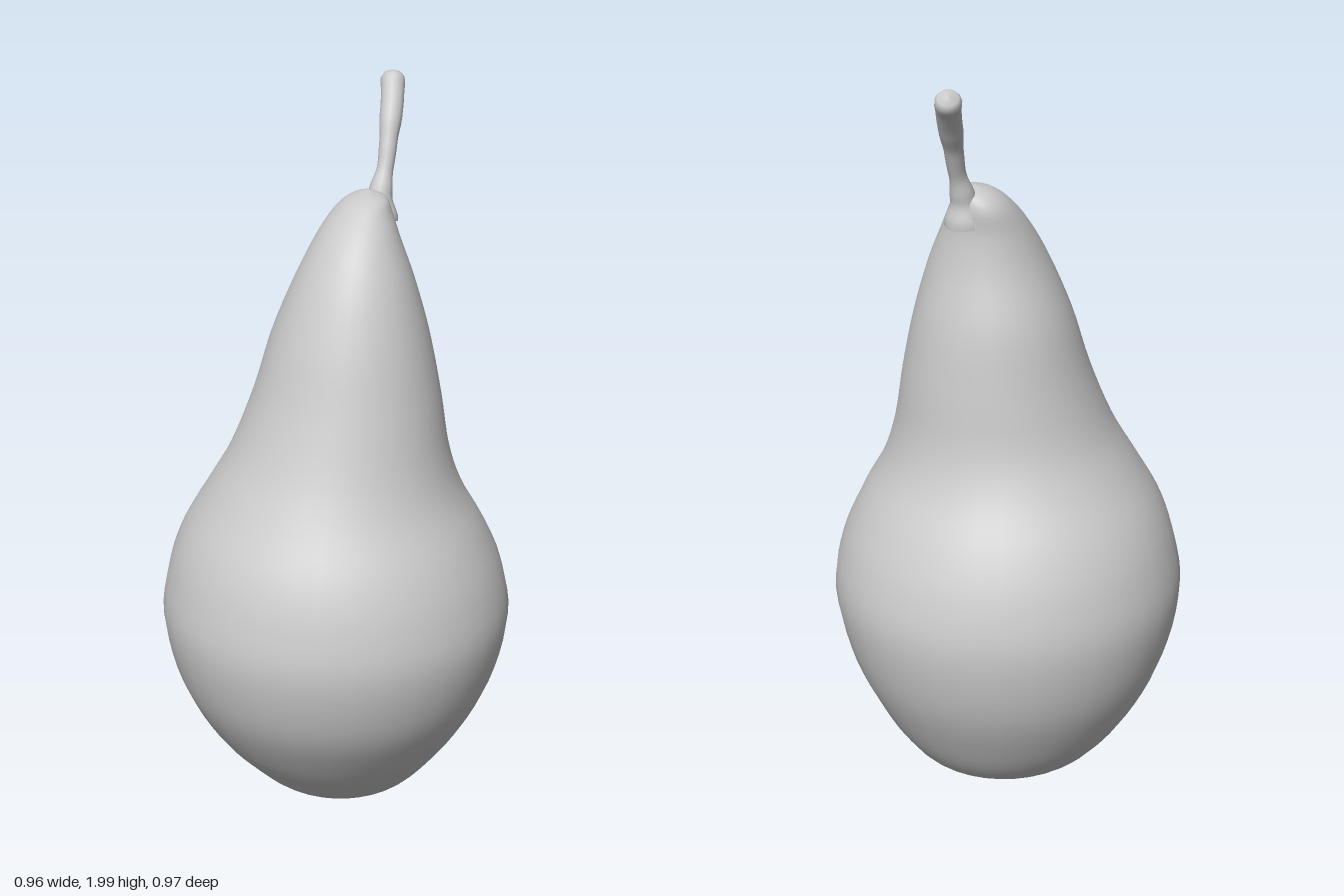
import * as THREE from 'three';

const material = new THREE.MeshStandardMaterial({ color: 0xcccccc, roughness: 0.8 });

// Lofts smooth horizontal ovals through rows of [y, xMin, xMax, zMin, zMax]
function loft(rows, sides, steps) {
  const centres = new THREE.CatmullRomCurve3(
    rows.map(([y, x0, x1, z0, z1]) => new THREE.Vector3((x0 + x1) / 2, y, (z0 + z1) / 2)), false, 'catmullrom');
  const radii = new THREE.CatmullRomCurve3(
    rows.map(([, x0, x1, z0, z1]) => new THREE.Vector3((x1 - x0) / 2, 0, (z1 - z0) / 2)), false, 'catmullrom');
  const rings = (rows.length - 1) * steps;
  const positions = [], index = [];
  for (let i = 0; i <= rings; i++) {
    const c = centres.getPoint(i / rings), r = radii.getPoint(i / rings);
    for (let j = 0; j < sides; j++) {
      const a = (j / sides) * Math.PI * 2;
      positions.push(c.x + r.x * Math.cos(a), c.y, c.z + r.z * Math.sin(a));
      if (i === rings) continue;
      const p = i * sides + j, q = i * sides + ((j + 1) % sides);
      index.push(p, p + sides, q, q, p + sides, q + sides);
    }
  }
  const geometry = new THREE.BufferGeometry();
  geometry.setAttribute('position', new THREE.Float32BufferAttribute(positions, 3));
  geometry.setIndex(index);
  geometry.computeVertexNormals();
  return geometry;
}

// Tube whose radius follows a list of evenly spaced values
function taperedTube(points, radii, segments, sides) {
  const path = new THREE.CatmullRomCurve3(points.map((p) => new THREE.Vector3(...p)));
  const geometry = new THREE.TubeGeometry(path, segments, 1, sides);
  const pos = geometry.attributes.position, v = new THREE.Vector3();
  for (let i = 0; i < pos.count; i++) {
    const t = Math.floor(i / (sides + 1)) / segments;
    const f = t * (radii.length - 1), k = Math.min(Math.floor(f), radii.length - 2);
    const r = THREE.MathUtils.lerp(radii[k], radii[k + 1], THREE.MathUtils.smoothstep(f - k, 0, 1));
    const c = path.getPointAt(t);
    // Round off the free end
    const end = Math.sqrt(Math.max(0, 1 - Math.pow(Math.max(0, (t - 0.91) / 0.09), 2)));
    v.fromBufferAttribute(pos, i).sub(c).multiplyScalar(r * end).add(c);
    pos.setXYZ(i, v.x, v.y, v.z);
  }
  geometry.computeVertexNormals();
  // Share normals across the seam
  const n = geometry.attributes.normal, a = new THREE.Vector3(), b = new THREE.Vector3();
  for (let i = 0; i <= segments; i++) {
    const s = i * (sides + 1), e = s + sides;
    a.fromBufferAttribute(n, s).add(b.fromBufferAttribute(n, e)).normalize();
    n.setXYZ(s, a.x, a.y, a.z);
    n.setXYZ(e, a.x, a.y, a.z);
  }
  return geometry;
}

export function createModel() {
  const model = new THREE.Group();
  model.name = 'pear';
  const add = (name, geometry, parent = model, mat = material) => {
    const mesh = new THREE.Mesh(geometry, mat);
    mesh.name = name;
    parent.add(mesh);
    return mesh;
  };

  // Fruit body: hollow base, full belly, neck leaning to the left and back
  add('body', loft([
    [0.055, 0.01, 0.01, 0, 0],
    [0.045, -0.05, 0.06, -0.05, 0.05],
    [0.018, -0.09, 0.10, -0.10, 0.09],
    [0.018, -0.14, 0.165, -0.145, 0.13],
    [0.05, -0.20, 0.225, -0.22, 0.19],
    [0.11, -0.27, 0.285, -0.30, 0.25],
    [0.22, -0.36, 0.36, -0.375, 0.34],
    [0.38, -0.44, 0.435, -0.45, 0.44],
    [0.56, -0.48, 0.475, -0.482, 0.487],
    [0.70, -0.462, 0.453, -0.46, 0.472],
    [0.82, -0.42, 0.402, -0.41, 0.43],
    [0.94, -0.35, 0.335, -0.335, 0.36],
    [1.05, -0.285, 0.30, -0.29, 0.31],
    [1.20, -0.222, 0.277, -0.265, 0.262],
    [1.36, -0.17, 0.245, -0.24, 0.215],
    [1.50, -0.11, 0.205, -0.198, 0.16],
    [1.60, -0.055, 0.17, -0.18, 0.10],
    [1.665, -0.005, 0.15, -0.178, 0.04],
    [1.70, 0.04, 0.135, -0.155, -0.01],
    [1.716, 0.09, 0.09, -0.09, -0.09],
  ], 36, 4));

  // Bent stem with a flared foot and a knobbed end
  add('stem', taperedTube([
    [0.118, 1.63, -0.118], [0.127, 1.70, -0.133], [0.143, 1.77, -0.155],
    [0.155, 1.85, -0.188], [0.167, 1.92, -0.232], [0.174, 1.985, -0.288],
  ], [0.055, 0.032, 0.022, 0.024, 0.03, 0.031, 0.036], 36, 14));

  // Dried flower remains in the hollow underneath
  const calyx = new THREE.Group();
  calyx.name = 'calyx';
  calyx.position.x = 0.015;
  model.add(calyx);
  const core = add('calyxCore', new THREE.SphereGeometry(0.03, 10, 8), calyx);
  core.scale.y = 0.6;
  core.position.y = 0.036;
  for (let i = 0; i < 5; i++) {
    const a = (i / 5) * Math.PI * 2 + 0.3, c = Math.cos(a), s = Math.sin(a);
    const curl = 0.012 * (i % 2);
    add('sepal', taperedTube([
      [0.02 * c, 0.045, 0.02 * s], [0.035 * c, 0.016, 0.035 * s],
      [0.055 * c - 0.01 * s, 0.009 + curl, 0.055 * s + 0.01 * c],
      [0.072 * c - 0.02 * s, 0.02 + curl, 0.072 * s + 0.02 * c],
    ], [0.012, 0.012, 0.009, 0.004], 10, 6), calyx);
  }

  return model;
}
